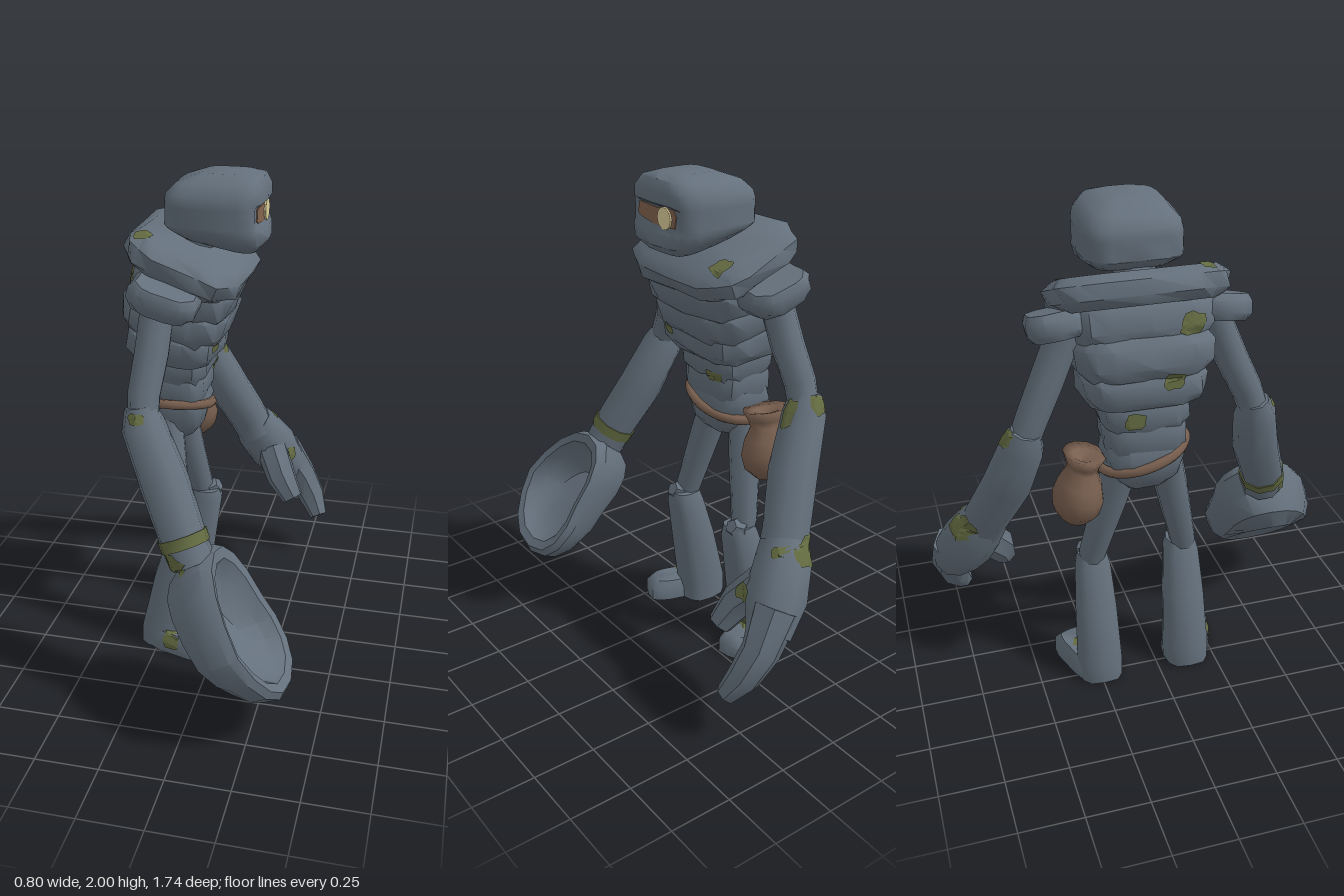
import * as THREE from 'three';
import { toCreasedNormals } from 'three/addons/utils/BufferGeometryUtils.js';

const MID = -0.055; // z of the body's plane of symmetry
const V = (x, y, z) => new THREE.Vector3(x, y, z);

// Skin a list of closed point rings, capped at both ends, facing outward
function loft(rings, crease = 0.85) {
  const tris = [], n = rings[0].length;
  const centre = r => r.reduce((a, p) => a.add(p), V(0, 0, 0)).divideScalar(n);
  const end = rings[rings.length - 1], first = centre(rings[0]), last = centre(end);
  for (let j = 0; j < n; j++) {
    const k = (j + 1) % n;
    tris.push([first, rings[0][k], rings[0][j]], [last, end[j], end[k]]);
    for (let i = 0; i < rings.length - 1; i++) {
      const a = rings[i], b = rings[i + 1];
      tris.push([a[j], a[k], b[k]], [a[j], b[k], b[j]]);
    }
  }
  const volume = tris.reduce((s, [a, b, c]) =>
    s + a.clone().sub(first).dot(b.clone().sub(first).cross(c.clone().sub(first))), 0);
  if (volume < 0) tris.forEach(t => t.reverse());
  return toCreasedNormals(new THREE.BufferGeometry().setFromPoints(tris.flat()), crease);
}

// Round-cornered rings [cx, y, hx, hz, slope, greatest x] with a slightly rough outline
function stack(rings, power = 4, rough = 0.03, sides = 18) {
  const pw = v => Math.sign(v) * Math.abs(v) ** (2 / power);
  return loft(rings.map(([cx, y, hx, hz, slope = 0, maxX = 9], i) =>
    Array.from({ length: sides }, (_, j) => {
      const t = j / sides * Math.PI * 2;
      const k = 1 + rough * Math.sin(j * 2.7 + i * 1.3 + hx * 70);
      const x = pw(Math.cos(t)) * hx * k;
      return V(Math.min(cx + x, maxX), y + x * slope, pw(Math.sin(t)) * hz * k);
    })));
}

// Stone slab with bevelled top and bottom
const slab = (hx, hy, hz, power = 3.6) => stack([
  [0, -hy, hx * 0.84, hz * 0.86], [0, -hy * 0.45, hx, hz * 0.98],
  [0, hy * 0.45, hx, hz], [0, hy, hx * 0.84, hz * 0.87]], power, 0.035);

// Faceted limb through points [x, y, z, radius]
function limb(points, sides = 9) {
  const p = points.map(a => V(a[0], a[1], a[2]));
  return loft(p.map((c, i) => {
    const T = p[Math.min(i + 1, p.length - 1)].clone().sub(p[Math.max(i - 1, 0)]).normalize();
    const U = T.clone().cross(V(0.2, 0.1, 1)).normalize(), W = T.clone().cross(U);
    return Array.from({ length: sides }, (_, j) => {
      const t = j / sides * Math.PI * 2;
      return c.clone().addScaledVector(U, points[i][3] * Math.cos(t)).addScaledVector(W, points[i][3] * Math.sin(t));
    });
  }));
}

// Thin patch of half-width ru and half-height rv draped over the stone at p, looking along the normal
function drape(targets, p, normal, ru, rv) {
  const n = normal.clone().normalize();
  const U = n.clone().cross(Math.abs(n.y) > 0.8 ? V(1, 0, 0) : V(0, 1, 0)).normalize(), W = n.clone().cross(U);
  const ray = new THREE.Raycaster();
  const hit = (u, v) => {
    ray.set(p.clone().addScaledVector(n, 0.12).addScaledVector(U, u).addScaledVector(W, v), n.clone().negate());
    const h = ray.intersectObjects(targets, false)[0];
    return h && h.distance < 0.3 ? h.point.addScaledVector(n, 0.006) : null;
  };
  const N = 12, tris = [], ring = f => Array.from({ length: N }, (_, j) => {
    const t = j / N * Math.PI * 2, q = f * (1 + 0.15 * Math.sin(j * 2.3 + ru * 90));
    return hit(ru * q * Math.cos(t), rv * q * Math.sin(t));
  });
  const rings = [Array(N).fill(hit(0, 0)), ring(0.33), ring(0.67), ring(1)];
  for (let j = 0; j < N; j++) {
    const k = (j + 1) % N;
    tris.push([rings[0][j], rings[1][j], rings[1][k]]);
    for (const i of [1, 2]) {
      const a = rings[i], b = rings[i + 1];
      tris.push([a[j], b[j], b[k]], [a[j], b[k], a[k]]);
    }
  }
  const reach = 1.3 * Math.max(ru, rv);
  const ok = tris.filter(t => t.every(Boolean) && t[0].distanceTo(t[1]) < reach && t[0].distanceTo(t[2]) < reach);
  const g = new THREE.BufferGeometry().setFromPoints(ok.flat());
  g.computeVertexNormals();
  return g;
}

export function createModel() {
  const mat = (name, color, side = THREE.FrontSide) => {
    const m = new THREE.MeshStandardMaterial({ color, side });
    m.name = name;
    return m;
  };
  const stone = mat('stone', 0x64707c), moss = mat('moss', 0x636b41, THREE.DoubleSide);
  const leather = mat('leather', 0x785f4f, THREE.DoubleSide), glow = mat('eye glow', 0xdccf9a);
  const visorBrown = mat('visor brown', 0x84644f);
  const model = new THREE.Group();
  model.name = 'stoneGolem';
  const add = (name, geo, material = stone, x = 0, y = 0, z = 0) => {
    const m = new THREE.Mesh(geo, material);
    m.name = name;
    m.position.set(x, y, z);
    model.add(m);
    return m;
  };

  // Head with a visor slot cut into its face
  add('head', stack([
    [-0.03, 1.735, 0.15, 0.135, -0.2], [-0.035, 1.77, 0.19, 0.178, -0.16], [-0.038, 1.8, 0.193, 0.19, -0.05],
    [-0.038, 1.812, 0.193, 0.19, 0, 0.13], [-0.038, 1.882, 0.192, 0.19, 0, 0.13], [-0.038, 1.895, 0.19, 0.19],
    [-0.035, 1.93, 0.188, 0.182, 0.04], [-0.025, 1.97, 0.16, 0.145, 0.06], [0, 1.995, 0.09, 0.08]], 4, 0.008, 20),
    stone, 0, 0, MID - 0.005);
  const plate = (name, pts, material, x) => {
    const g = new THREE.ExtrudeGeometry(new THREE.Shape(pts.map(q => new THREE.Vector2(...q))), { depth: 0.008, bevelEnabled: false });
    add(name, g.rotateY(Math.PI / 2), material, x);
  };
  plate('visor', [[-0.06, 1.835], [-0.03, 1.822], [0.05, 1.81], [0.17, 1.815], [0.18, 1.86], [0.16, 1.885], [0.05, 1.875], [-0.05, 1.88]], visorBrown, 0.126);
  plate('eye', Array.from({ length: 10 }, (_, i) => {
    const t = i / 10 * Math.PI * 2;
    return [0.113 + 0.042 * Math.cos(t), 1.844 + 0.042 * Math.sin(t)];
  }), glow, 0.133);
  add('neck', limb([[-0.19, 1.62, MID, 0.09], [-0.13, 1.72, MID, 0.08], [-0.07, 1.81, MID, 0.075]]));

  // Stacked, forward-tilted slabs of the torso: x, y, hx, hy, hz, tilt
  [['collar', -0.135, 1.67, 0.235, 0.062, 0.335, -0.4],
    ['upperChest', -0.15, 1.565, 0.205, 0.09, 0.275, -0.35],
    ['chest', -0.185, 1.455, 0.21, 0.085, 0.262, -0.22],
    ['ribs', -0.2, 1.345, 0.185, 0.075, 0.24, -0.12],
    ['waist', -0.21, 1.24, 0.145, 0.075, 0.175, -0.05],
    ['belly', -0.215, 1.14, 0.135, 0.085, 0.16, 0.05]].forEach(([name, x, y, hx, hy, hz, tilt]) => {
    add(name, slab(hx, hy, hz), stone, x, y, MID).rotation.z = tilt;
  });
  add('pelvis', stack([[0, 0.915, 0.08, 0.09], [0, 0.96, 0.12, 0.13], [0, 1.06, 0.142, 0.165], [0, 1.11, 0.125, 0.155]], 3), stone, -0.22, 0, MID);

  // Paired limbs
  for (const s of [1, -1]) {
    const side = s > 0 ? 'near' : 'far';
    const Z = z => MID + s * z;
    const path = pts => limb(pts.map(([x, y, z, r]) => [x, y, Z(z), r]));
    const pad = add(side + 'ShoulderPad', slab(0.135, 0.05, 0.115, 3), stone, -0.17, 1.585, Z(0.31));
    pad.rotation.set(s * 0.12, 0, -0.3);
    add(side + 'UpperArm', path([[-0.2, 1.57, 0.28, 0.066], [-0.21, 1.38, 0.36, 0.066], [-0.225, 1.24, 0.425, 0.063], [-0.22, 1.13, 0.465, 0.06]]));
    add(side + 'Forearm', path([[-0.235, 1.2, 0.45, 0.06], [-0.22, 1.13, 0.465, 0.086], [-0.13, 0.93, 0.515, 0.097], [-0.04, 0.74, 0.59, 0.092], [0, 0.655, 0.61, 0.09]]));
    add(side + 'Thigh', path([[-0.24, 1.02, 0.085, 0.07], [-0.215, 0.85, 0.125, 0.068], [-0.165, 0.56, 0.193, 0.055], [-0.155, 0.5, 0.2, 0.045]]));
    add(side + 'Knee', new THREE.DodecahedronGeometry(0.05), stone, -0.12, 0.54, Z(0.205));
    add(side + 'Shin', stack([
      [-0.23, 0, 0.1, 0.095], [-0.23, 0.08, 0.1, 0.093], [-0.185, 0.32, 0.088, 0.084],
      [-0.145, 0.5, 0.073, 0.072], [-0.14, 0.55, 0.06, 0.06]], 2.7, 0.02, 12), stone, 0, 0, Z(0.19));
    add(side + 'Foot', stack([[0, 0, 0.14, 0.075], [0, 0.05, 0.138, 0.073], [-0.01, 0.085, 0.115, 0.055]], 4, 0.015, 14),
      stone, -0.145, 0, Z(0.25)).rotation.y = -s * 0.3;
  }

  // Hollow scoop hand, deep at the wrist and thin at the tip: scale, depth
  const along = V(0.54, -0.84, 0), out = V(0.84, 0.54, 0);
  add('scoopHand', loft([[0.45, -0.235], [0.8, -0.21], [0.96, -0.13], [1, -0.03], [0.93, 0.01], [0.8, 0], [0.68, -0.07], [0.4, -0.13]]
    .map(([k, d]) => Array.from({ length: 16 }, (_, j) => {
      const t = j / 16 * Math.PI * 2, c = Math.cos(t), w = Math.sin(t);
      const b = 0.232 * Math.sign(w) * Math.abs(w) ** 0.85 * (1 + 0.08 * c) * k;
      const shift = 0.085 * Math.max(0, -c) + 0.03 * Math.max(0, c);
      return V(0.236, 0.458, 0.637 - shift * k + b)
        .addScaledVector(along, (0.312 * c - 0.005) * k).addScaledVector(out, d * (0.84 - 0.22 * c));
    })), 0.6));
  add('wristMoss', limb([[-0.045, 0.752, 0.53, 0.098], [-0.027, 0.712, 0.543, 0.097]]), moss);

  // Gripping hand
  add('palm', limb([[-0.02, 0.71, -0.655, 0.09], [0.01, 0.64, -0.69, 0.11], [0.08, 0.53, -0.735, 0.12], [0.155, 0.42, -0.785, 0.085]]));
  add('fingers', limb([[0.11, 0.52, -0.77, 0.095], [0.2, 0.38, -0.795, 0.076], [0.26, 0.28, -0.775, 0.065], [0.305, 0.195, -0.73, 0.042]], 7));
  add('thumb', limb([[0.08, 0.56, -0.66, 0.075], [0.14, 0.46, -0.585, 0.07], [0.2, 0.37, -0.555, 0.05]], 7));

  // Belt and pouch
  const loop = new THREE.CatmullRomCurve3(Array.from({ length: 12 }, (_, i) => {
    const t = i / 12 * Math.PI * 2, z = 0.17 * Math.sin(t);
    return V(-0.22 + 0.147 * Math.cos(t), 1.045 + z * 0.28, MID + z);
  }), true);
  add('belt', new THREE.TubeGeometry(loop, 36, 0.02, 6, true), leather);
  const profile = [[0, 0], [0.055, 0.01], [0.092, 0.055], [0.101, 0.115], [0.086, 0.175], [0.06, 0.225], [0.064, 0.25], [0.083, 0.295], [0.045, 0.285], [0, 0.26]];
  const pouch = add('pouch', new THREE.LatheGeometry(profile.map(q => new THREE.Vector2(...q)), 11), leather, -0.228, 0.775, -0.333);
  pouch.rotation.x = 0.16;
  pouch.scale.x = 1.2;

  // Moss patches: position, facing, half-width, half-height
  model.updateMatrixWorld(true);
  const rocks = model.children.filter(m => m.material === stone);
  [[[-0.06, 0.665, 0.62], [0, 0, 1], 0.055, 0.05],
    [[-0.23, 1.18, 0.47], [0, 0, 1], 0.035, 0.02], [[-0.14, 1.145, -0.52], [1, 0, 0], 0.033, 0.055],
    [[0.05, 0.72, -0.725], [1, 0, 0], 0.025, 0.018], [[0.15, 0.55, -0.66], [1, 0, 0.3], 0.042, 0.032],
    [[0, 1.66, -0.285], [0.4, 1, 0], 0.045, 0.045], [[-0.28, 1.77, 0.17], [0.4, 1, 0], 0.035, 0.035],
    [[0, 1.34, 0.08], [1, 0, 0], 0.035, 0.025], [[-0.07, 1.19, -0.14], [1, 0, 0], 0.045, 0.025],
    [[-0.38, 1.6, 0.1], [-1, 0, 0], 0.055, 0.045], [[-0.39, 1.4, 0.02], [-1, 0, 0], 0.045, 0.035],
    [[-0.36, 1.24, -0.12], [-1, 0, 0], 0.045, 0.035], [[-0.18, 0.06, 0.24], [0, 0, 1], 0.04, 0.035],
    [[-0.12, 0.12, -0.3], [1, 0.4, 0], 0.05, 0.035], [[-0.05, 0.7, -0.74], [0, 0, -1], 0.075, 0.05],
    [[-0.23, 1.18, -0.58], [0, 0, -1], 0.04, 0.035]].forEach(([p, n, ru, rv]) => add('moss', drape(rocks, V(...p), V(...n), ru, rv), moss));

  return model;
}
